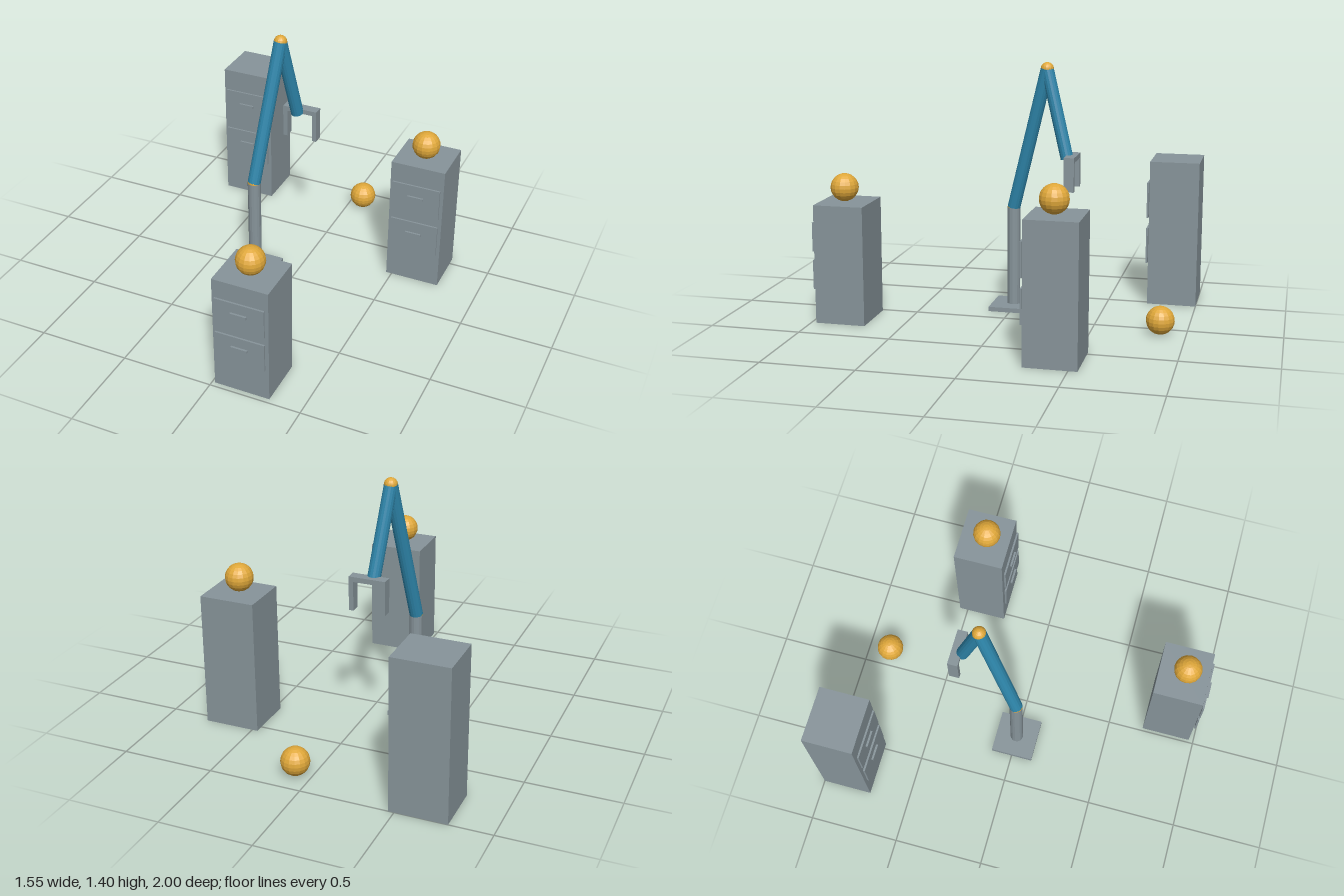
import * as THREE from 'three';

const paint = (name, color) => {
  const m = new THREE.MeshStandardMaterial({ color, flatShading: true });
  m.name = name;
  return m;
};

export function createModel() {
  const model = new THREE.Group();
  model.name = 'robotArmWithCabinets';
  const grey = paint('steelGrey', 0x87949a);
  const blue = paint('armBlue', 0x2e86ab);
  const gold = paint('gold', 0xe0a83a);

  const add = (parent, name, geometry, material, x, y, z) => {
    const mesh = new THREE.Mesh(geometry, material);
    mesh.name = name;
    mesh.position.set(x, y, z);
    parent.add(mesh);
    return mesh;
  };
  const box = (parent, name, w, h, d, x, y, z) =>
    add(parent, name, new THREE.BoxGeometry(w, h, d), grey, x, y, z);
  const ball = (parent, name, r, x, y, z) =>
    add(parent, name, new THREE.SphereGeometry(r, 16, 12), gold, x, y, z);

  // Cylinder running from one point to another
  const rod = (parent, name, a, b, r, material) => {
    const dir = b.clone().sub(a);
    const mid = a.clone().add(b).multiplyScalar(0.5);
    const mesh = add(parent, name, new THREE.CylinderGeometry(r, r, dir.length(), 16), material, mid.x, mid.y, mid.z);
    mesh.quaternion.setFromUnitVectors(new THREE.Vector3(0, 1, 0), dir.normalize());
  };

  // Two-drawer cabinets; drawer fronts scale with the cabinet height
  const cabinet = (name, x, h, front) => {
    const g = new THREE.Group();
    g.name = name;
    g.position.set(x, 0, front);
    box(g, 'body', 0.304, h, 0.275, 0, h / 2, -0.1375);
    for (const [side, c] of [['upper', 0.725], ['lower', 0.407]]) {
      box(g, side + 'Drawer', 0.27, h * 0.246, 0.01, 0, h * c, 0.011);
      box(g, side + 'Handle', 0.089, 0.013, 0.011, 0, h * (c + 0.026), 0.0215);
    }
    model.add(g);
  };
  cabinet('tallCabinet', -0.622, 0.822, -0.725);
  cabinet('middleCabinet', 0.62, 0.736, -0.272);
  cabinet('lowCabinet', 0.168, 0.651, 0.973);

  // Balls on two cabinets and on the floor
  ball(model, 'lowCabinetBall', 0.076, 0.168, 0.727, 0.848);
  ball(model, 'middleCabinetBall', 0.076, 0.619, 0.812, -0.397);
  ball(model, 'floorBall', 0.076, 0.087, 0.077, -0.864);

  // Arm: base plate, column, two links and their joints
  const arm = new THREE.Group();
  arm.name = 'robotArm';
  model.add(arm);
  const shoulder = new THREE.Vector3(-0.228, 0.578, 0);
  const elbow = new THREE.Vector3(-0.157, 1.36, -0.199);
  const wrist = new THREE.Vector3(-0.113, 0.882, -0.32);
  box(arm, 'basePlate', 0.236, 0.025, 0.236, -0.228, 0.0125, 0);
  rod(arm, 'column', new THREE.Vector3(-0.228, 0.025, 0), shoulder, 0.036, grey);
  rod(arm, 'upperArm', shoulder, elbow, 0.036, blue);
  rod(arm, 'forearm', elbow, wrist, 0.035, blue);
  ball(arm, 'shoulderJoint', 0.036, ...shoulder.toArray());
  ball(arm, 'elbowJoint', 0.036, ...elbow.toArray());

  // Gripper with two fingers
  const gripper = new THREE.Group();
  gripper.name = 'gripper';
  gripper.position.set(-0.1, 0, -0.35);
  arm.add(gripper);
  box(gripper, 'palm', 0.2, 0.027, 0.056, 0, 0.892, 0);
  for (const s of [-1, 1]) box(gripper, s > 0 ? 'leftFinger' : 'rightFinger', 0.025, 0.16, 0.056, s * 0.0875, 0.8, 0);

  return model;
}
